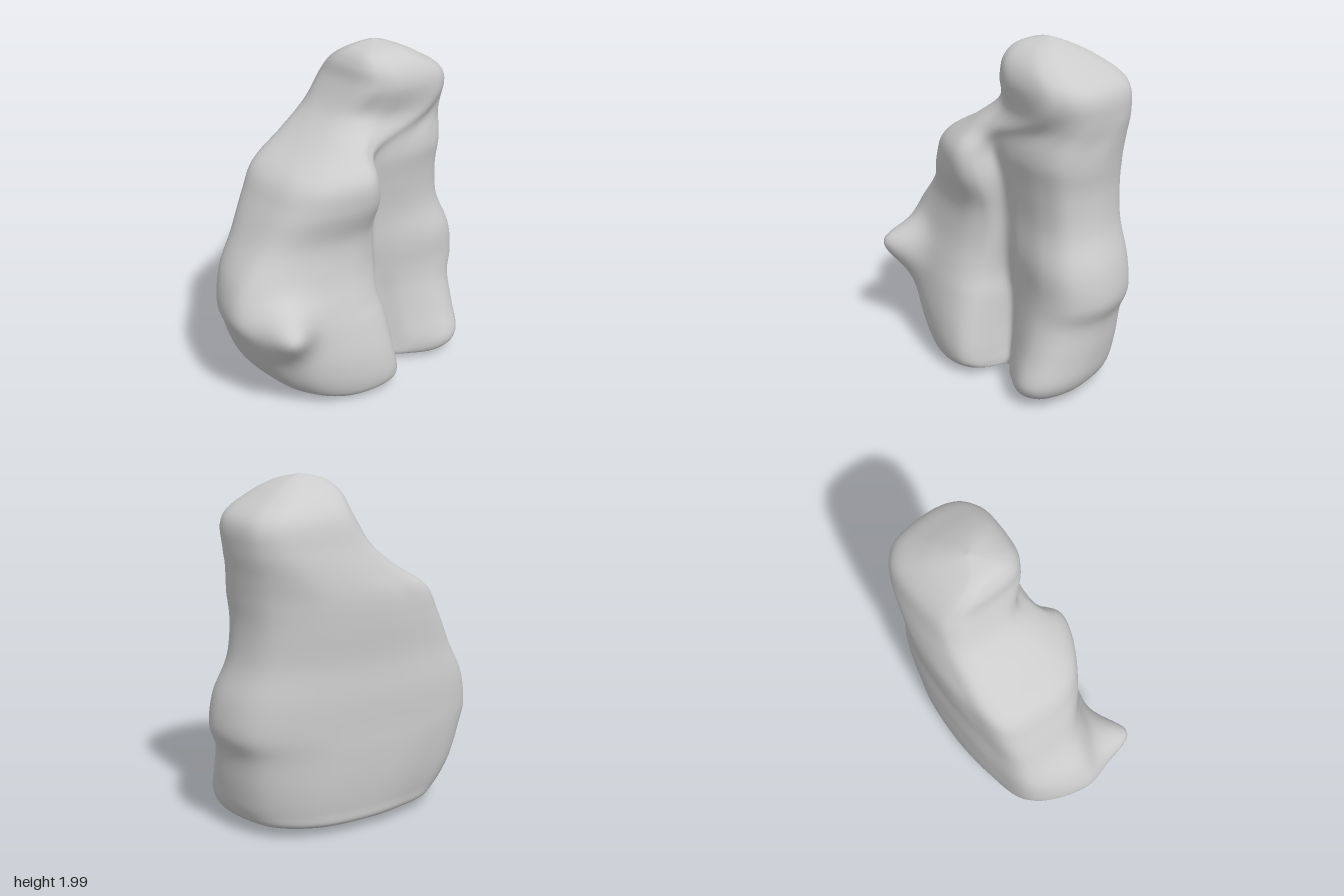
import * as THREE from 'three';

const { lerp, smoothstep, clamp } = THREE.MathUtils;

// Horizontal sections from base to crown:
// y, flat side x, front z, back z, front lobe x, back lobe x, groove x, groove z
const SECTIONS = [
  [0.035, 0, -0.02, -0.08, 0.02, 0.02, 0.02, -0.05],
  [0.04, -0.27, 0.3, -0.47, 0.28, 0.24, 0.16, -0.16],
  [0.07, -0.38, 0.46, -0.64, 0.4, 0.37, 0.19, -0.17],
  [0.15, -0.4, 0.56, -0.71, 0.43, 0.42, 0.17, -0.17],
  [0.3, -0.42, 0.67, -0.735, 0.41, 0.36, 0.15, -0.16],
  [0.48, -0.43, 0.76, -0.75, 0.36, 0.3, 0.14, -0.15],
  [0.62, -0.43, 0.81, -0.8, 0.31, 0.28, 0.14, -0.13],
  [0.8, -0.43, 0.75, -0.775, 0.26, 0.27, 0.15, -0.13],
  [1.0, -0.42, 0.61, -0.7, 0.25, 0.22, 0.15, -0.12],
  [1.2, -0.43, 0.51, -0.675, 0.32, 0.22, 0.17, -0.1],
  [1.36, -0.43, 0.42, -0.685, 0.32, 0.24, 0.18, -0.06],
  [1.49, -0.41, 0.22, -0.7, 0.22, 0.26, 0.18, -0.06],
  [1.63, -0.38, 0.05, -0.71, 0.14, 0.26, 0.2, -0.22],
  [1.79, -0.34, -0.04, -0.68, 0.22, 0.26, 0.25, -0.3],
  [1.9, -0.24, -0.07, -0.52, 0.19, 0.21, 0.21, -0.29],
  [1.97, -0.12, -0.13, -0.38, 0.1, 0.11, 0.1, -0.26],
  [2.0, -0.04, -0.26, -0.28, -0.02, -0.02, -0.02, -0.27],
];
const AROUND = 112;
const STEPS = 6; // rings between neighbouring sections

// Catmull-Rom blend of four numbers
function blend(a, b, c, d, t) {
  const m0 = (c - a) / 2, m1 = (d - b) / 2;
  return (2 * b - 2 * c + m0 + m1) * t ** 3 + (3 * c - 3 * b - 2 * m0 - m1) * t * t + m0 * t + b;
}

function sectionAt(u) {
  const last = SECTIONS.length - 1;
  const i = Math.min(Math.floor(u), last - 1);
  const row = (k) => SECTIONS[clamp(k, 0, last)];
  return row(i).map((v, k) => blend(row(i - 1)[k], v, row(i + 1)[k], row(i + 2)[k], u - i));
}

// Lower body: one flat side, two lobes and a groove between them.
// It blends into a rounded square for the head.
function outline([y, xl, zf, zb, fx, bx, gx, gz]) {
  const w = fx - xl, wb = bx - xl;
  const zm = (zf + zb) / 2, h = (zf - zb) / 2;
  const f = zf - gz, b = gz - zb;
  const corner = 0.84 + 0.09 * smoothstep(Math.abs(y - 0.62), 0, 0.5);
  const lobes = [
    [xl, zm],
    [xl + 0.02 * w, zm + 0.5 * h],
    [xl + 0.13 * w, zm + corner * h],
    [xl + 0.54 * w, zf],
    [xl + 0.77 * w, gz + 0.88 * f],
    [xl + 0.92 * w, gz + 0.62 * f],
    [fx, gz + 0.32 * f],
    [xl + 0.95 * w, gz + 0.13 * f],
    [gx, gz],
    [lerp(gx, bx, 0.5), gz - 0.25 * b],
    [bx, gz - 0.6 * b],
    [xl + 0.93 * wb, gz - 0.87 * b],
    [xl + 0.64 * wb, zb],
    [xl + 0.27 * wb, zm - 0.89 * h],
    [xl + 0.06 * wb, zm - 0.5 * h],
  ];
  const head = smoothstep(y, 1.34, 1.74);
  const points = lobes.map(([x, z], i) => {
    const angle = (i / lobes.length) * Math.PI * 2;
    const power = Math.sin(angle) > 0 ? 0.6 : 0.7; // squarer front, rounder back
    const rounded = (v) => Math.sign(v) * Math.abs(v) ** power;
    const c = -rounded(Math.cos(angle)), s = rounded(Math.sin(angle));
    const right = lerp(bx, fx, smoothstep(s, -0.1, 0.9));
    const hx = lerp(xl, right, (c + 1) / 2);
    return new THREE.Vector3(lerp(x, hx, head), y, lerp(z, zm + h * s, head));
  });
  return new THREE.CatmullRomCurve3(points, true, 'catmullrom', 0.5);
}

export function createModel() {
  const group = new THREE.Group();
  const positions = [], index = [];
  const rings = (SECTIONS.length - 1) * STEPS;
  const bump = new THREE.Vector3(0.19, 0.56, 0.62);
  const bumpPush = new THREE.Vector3(0.165, 0.05, 0.085);
  const feet = [[0.3, 0.22, 0.04], [0.28, -0.52, 0.025]]; // x, z, drop

  for (let i = 0; i <= rings; i++) {
    const curve = outline(sectionAt(i / STEPS));
    for (let j = 0; j < AROUND; j++) {
      const p = curve.getPoint(j / AROUND);
      // Rounded bump on the front lobe
      p.addScaledVector(bumpPush, Math.exp(-p.distanceToSquared(bump) / 0.02));
      // The base dips under each lobe
      const low = 1 - smoothstep(p.y, 0.04, 0.3);
      for (const [x, z, drop] of feet) {
        p.y -= drop * low * Math.exp(-((p.x - x) ** 2 + (p.z - z) ** 2) / 0.05);
      }
      positions.push(p.x, p.y, p.z);
      if (i < rings) {
        const a = i * AROUND + j, b = i * AROUND + ((j + 1) % AROUND);
        index.push(a, b, b + AROUND, a, b + AROUND, a + AROUND);
      }
    }
  }

  // Close the tiny rings at base and crown
  const top = rings * AROUND;
  for (let j = 1; j < AROUND - 1; j++) {
    index.push(0, j + 1, j, top, top + j, top + j + 1);
  }

  const geometry = new THREE.BufferGeometry();
  geometry.setAttribute('position', new THREE.Float32BufferAttribute(positions, 3));
  geometry.setIndex(index);
  geometry.computeVertexNormals();

  const body = new THREE.Mesh(geometry, new THREE.MeshStandardMaterial({ color: 0xcccccc }));
  body.name = 'lobedBody';
  group.add(body);
  return group;
}
